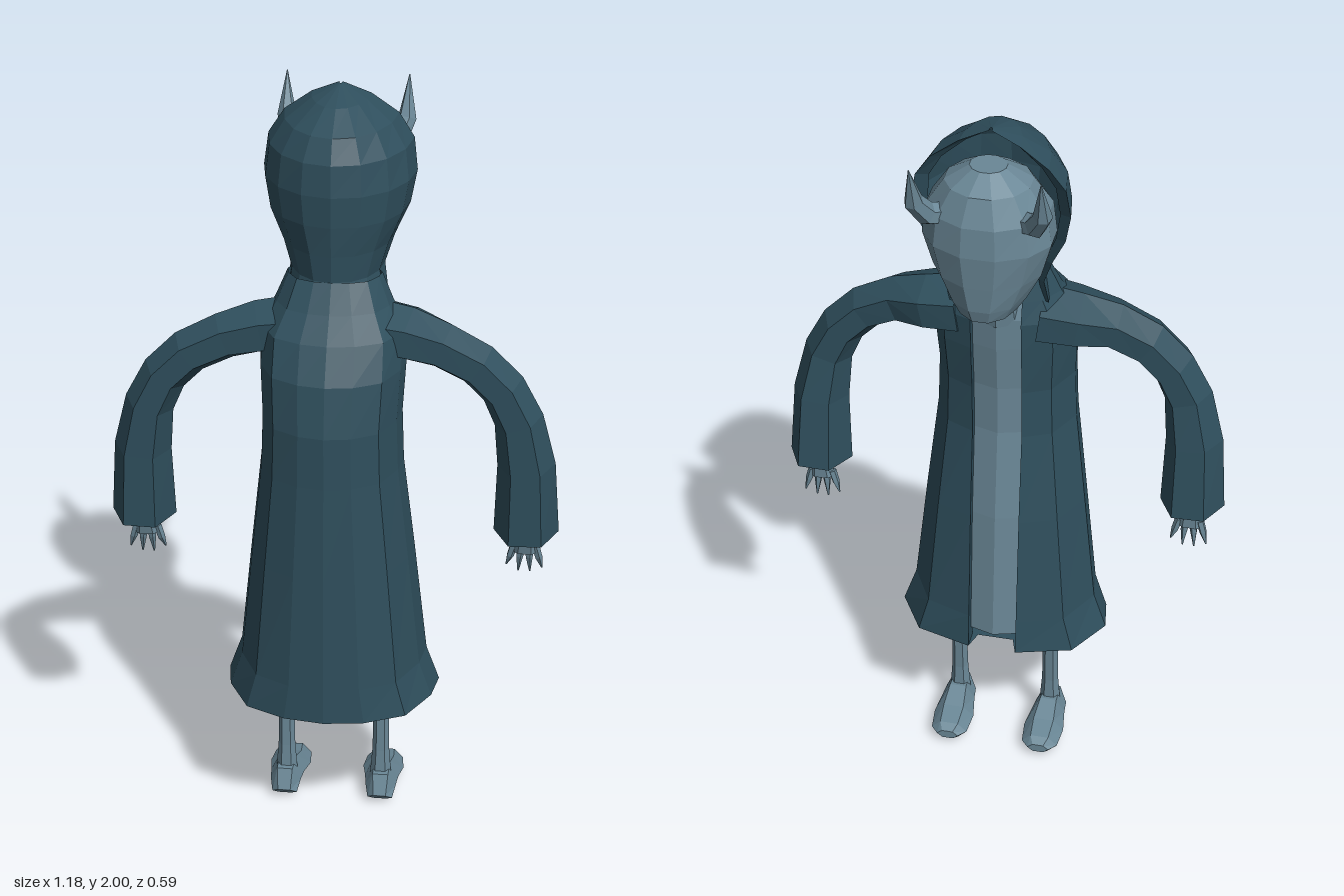
import * as THREE from 'three';

const V = (x, y, z) => new THREE.Vector3(x, y, z);
const robeMat = new THREE.MeshStandardMaterial({ color: 0x2f4f5d, flatShading: true, side: THREE.DoubleSide });
robeMat.name = 'dark teal cloth';
const skinMat = new THREE.MeshStandardMaterial({ color: 0x6a8796, flatShading: true, side: THREE.DoubleSide });
skinMat.name = 'grey blue skin';

// Skin a list of rings; rings run counter-clockwise around the loft direction
function loft(name, material, rings, { closed = true, capStart = true, capEnd = true } = {}) {
  const pos = [];
  const tri = (...p) => p.forEach((q) => pos.push(q.x, q.y, q.z));
  const n = rings[0].length;
  const m = closed ? n : n - 1;
  for (let i = 0; i < rings.length - 1; i++) {
    for (let j = 0; j < m; j++) {
      const k = (j + 1) % n;
      const [a, b, c, d] = [rings[i][j], rings[i][k], rings[i + 1][k], rings[i + 1][j]];
      tri(a, b, c);
      tri(a, c, d);
    }
  }
  const cap = (ring, flip) => {
    const c = ring.reduce((s, p) => s.add(p), V(0, 0, 0)).divideScalar(n);
    for (let j = 0; j < n; j++) {
      const k = (j + 1) % n;
      if (flip) tri(c, ring[k], ring[j]);
      else tri(c, ring[j], ring[k]);
    }
  };
  if (capStart) cap(rings[0], true);
  if (capEnd) cap(rings[rings.length - 1], false);
  const geo = new THREE.BufferGeometry();
  geo.setAttribute('position', new THREE.Float32BufferAttribute(pos, 3));
  geo.computeVertexNormals();
  const mesh = new THREE.Mesh(geo, material);
  mesh.name = name;
  return mesh;
}

// Sweep an elliptical polygon along stations [x, y, z, a, b]
function sweep(name, material, stations, ref, sides = 6) {
  const pts = stations.map(([x, y, z]) => V(x, y, z));
  const rings = stations.map(([, , , a, b], i) => {
    const t = pts[Math.min(i + 1, pts.length - 1)].clone().sub(pts[Math.max(i - 1, 0)]).normalize();
    const u = ref.clone().cross(t).normalize();
    const v = t.clone().cross(u);
    return Array.from({ length: sides }, (_, j) => {
      const th = (j / sides) * Math.PI * 2;
      return pts[i].clone().addScaledVector(u, a * Math.cos(th)).addScaledVector(v, b * Math.sin(th));
    });
  });
  return loft(name, material, rings);
}

export function createModel() {
  const model = new THREE.Group();
  model.name = 'hoodedFigure';

  // Robe: [y, half width, front z, back z], open down the front with turned-in edges
  const robe = [
    [0.38, 0.285, -0.13, 0.297], [0.48, 0.25, -0.12, 0.295], [0.8, 0.215, -0.09, 0.285],
    [1.06, 0.185, -0.058, 0.277], [1.2, 0.18, -0.058, 0.275], [1.33, 0.187, -0.07, 0.25],
    [1.42, 0.185, -0.075, 0.2], [1.48, 0.15, -0.06, 0.145], [1.55, 0.12, -0.045, 0.1],
  ];
  const slit = 0.065;
  const robeRings = robe.map(([y, w, f, b]) => {
    const half = [[0.75, 0.1], [1, 0.38], [0.95, 0.59], [0.74, 0.85], [0.37, 0.965]]
      .map(([px, t]) => [px * w, f + t * (b - f)]);
    half.unshift([slit, f + 0.05], [slit, f]);
    return [
      ...half.map(([x, z]) => V(-x, y, z)), V(0, y, b),
      ...half.reverse().map(([x, z]) => V(x, y, z)),
    ];
  });
  model.add(loft('robe', robeMat, robeRings, { closed: false, capEnd: false }));

  // Body strip showing through the open robe
  const bodyRings = robe.slice(1).map(([y, , f], i) => [
    V(0, i ? y : 0.42, f + 0.005), V(-0.07, i ? y : 0.42, f + 0.025),
    V(-0.07, i ? y : 0.42, f + 0.09), V(0.07, i ? y : 0.42, f + 0.09), V(0.07, i ? y : 0.42, f + 0.025),
  ]);
  model.add(loft('body', skinMat, bodyRings));

  // Hood: [y, half width, rim z, back z], half-ellipse sections with a turned-in rim
  const hoodRings = [
    [1.48, 0.13, -0.045, 0.12], [1.55, 0.12, -0.06, 0.1], [1.62, 0.143, -0.08, 0.105],
    [1.7, 0.18, -0.1, 0.113], [1.78, 0.195, -0.115, 0.117], [1.86, 0.185, -0.13, 0.108],
    [1.92, 0.145, -0.14, 0.078], [1.97, 0.075, -0.135, 0], [2.0, 0.004, -0.125, -0.11],
  ].map(([y, w, r, b]) => {
    const ring = [];
    for (let j = 0; j <= 8; j++) {
      const th = (j / 8) * Math.PI;
      ring.push(V(-w * Math.cos(th), y, r + (b - r) * Math.sin(th)));
    }
    const lip = (s) => V(s * w * 0.84, y - 0.01, r + 0.025);
    return [lip(-1), ...ring, lip(1)];
  });
  model.add(loft('hood', robeMat, hoodRings, { closed: false, capStart: false, capEnd: false }));

  // Head: [y, half width, front z, back z]
  const headRings = [
    [1.515, 0.05, -0.215, -0.06], [1.535, 0.075, -0.245, -0.04], [1.57, 0.098, -0.255, -0.02],
    [1.64, 0.135, -0.262, 0], [1.73, 0.16, -0.27, 0], [1.81, 0.15, -0.265, 0],
    [1.88, 0.105, -0.238, -0.04], [1.92, 0.045, -0.185, -0.1],
  ].map(([y, w, f, b]) => Array.from({ length: 12 }, (_, j) => {
    const th = ((j + 0.5) / 12) * Math.PI * 2;
    return V(w * 1.03 * Math.cos(th), y, (f + b) / 2 - ((b - f) / 2) * 1.03 * Math.sin(th));
  }));
  model.add(loft('head', skinMat, headRings));
  model.add(sweep('neck', skinMat, [
    [0, 1.42, -0.01, 0.065, 0.065], [0, 1.49, -0.03, 0.06, 0.055], [0, 1.57, -0.08, 0.07, 0.07],
  ], V(0, 0, 1), 8));

  for (const s of [1, -1]) {
    const side = new THREE.Group();
    side.name = s > 0 ? 'leftSide' : 'rightSide';
    const mirrored = (list) => list.map(([x, ...rest]) => [s * x, ...rest]);
    const add = (name, material, list, ref, sides) =>
      side.add(sweep(name, material, mirrored(list), ref, sides));

    // Sleeve curving down from the shoulder
    add('sleeve', robeMat, [
      [0.1, 1.41, 0.03, 0.075, 0.11], [0.19, 1.398, 0.035, 0.07, 0.1], [0.28, 1.375, 0.055, 0.062, 0.075],
      [0.37, 1.33, 0.06, 0.06, 0.07], [0.435, 1.265, 0.06, 0.06, 0.07], [0.477, 1.18, 0.06, 0.064, 0.07],
      [0.5, 1.05, 0.05, 0.075, 0.082], [0.505, 0.85, 0.037, 0.085, 0.098],
    ], V(0, 0, 1));

    // Hand with four tapering fingers
    add('palm', skinMat, [
      [0.505, 0.87, 0.03, 0.03, 0.025], [0.505, 0.83, 0.03, 0.028, 0.024], [0.503, 0.78, 0.025, 0.036, 0.018],
    ], V(0, 0, 1));
    [[0.475, 0.455, 0.735], [0.493, 0.487, 0.718], [0.512, 0.518, 0.718], [0.53, 0.55, 0.73]]
      .forEach(([x0, x1, y1]) => add('finger', skinMat, [
        [x0, 0.8, 0.025, 0.011, 0.012], [(x0 + x1) / 2, 0.765, 0.023, 0.01, 0.011], [x1, y1, 0.018, 0.002, 0.002],
      ], V(0, 0, 1), 5));

    // Leg and foot
    add('leg', skinMat, [
      [0.13, 0.5, 0.035, 0.022, 0.024], [0.13, 0.3, 0.038, 0.021, 0.02],
      [0.13, 0.15, 0.044, 0.023, 0.018], [0.13, 0.06, 0.046, 0.03, 0.024],
    ], V(0, 0, 1));
    add('foot', skinMat, [
      [0.132, 0.018, 0.088, 0.034, 0.021], [0.132, 0.045, 0.062, 0.042, 0.052], [0.131, 0.045, 0.022, 0.046, 0.052],
      [0.13, 0.034, -0.04, 0.056, 0.039], [0.13, 0.028, -0.1, 0.05, 0.03], [0.13, 0.028, -0.123, 0.03, 0.014],
    ], V(0, 1, 0));

    // Horn
    add('horn', skinMat, [
      [0.085, 1.8, -0.185, 0.03, 0.03], [0.132, 1.818, -0.228, 0.03, 0.029],
      [0.155, 1.865, -0.258, 0.025, 0.024], [0.157, 1.97, -0.292, 0.001, 0.001],
    ], V(s, 0, 1).normalize());
    model.add(side);
  }
  return model;
}
